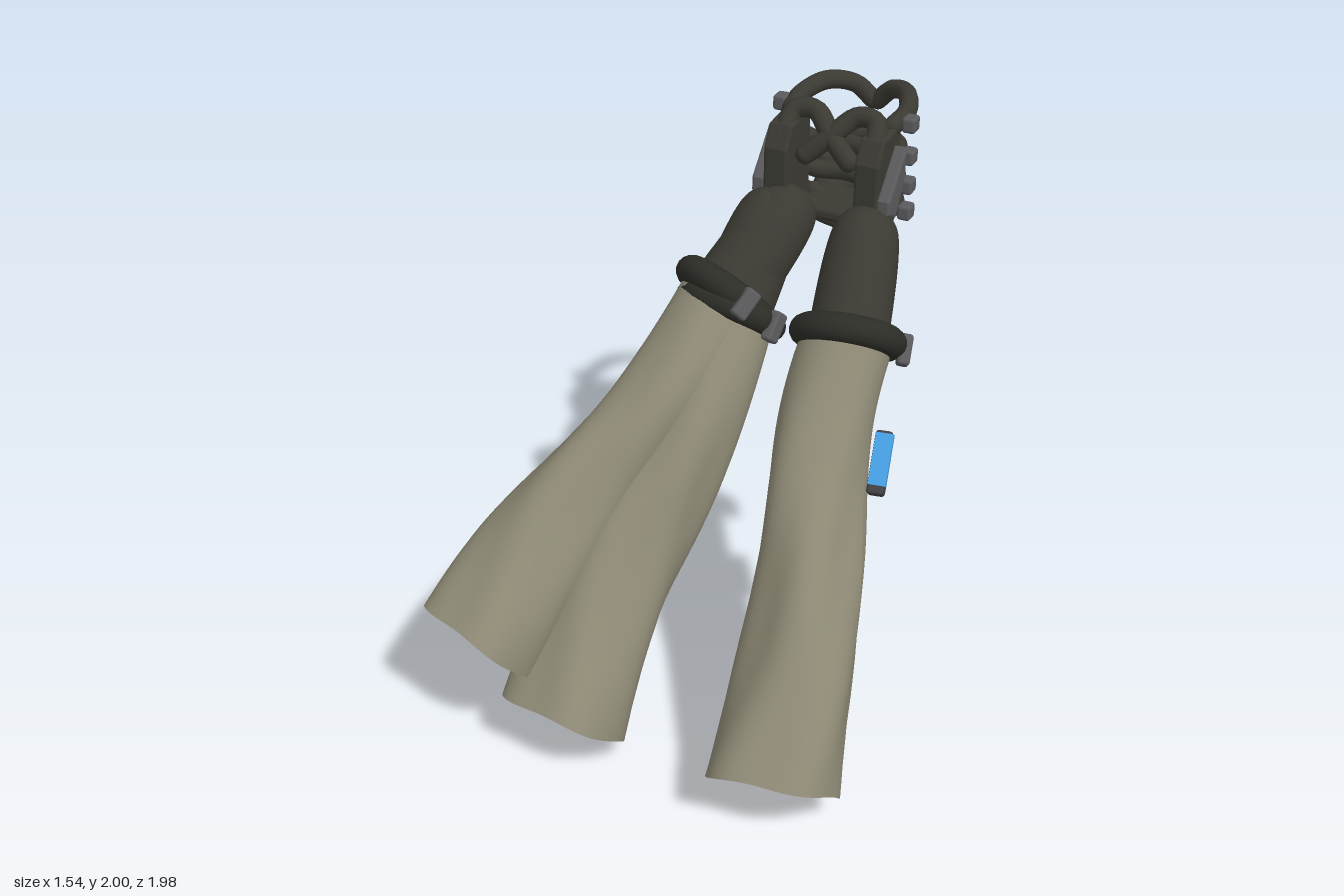
import * as THREE from 'three';
import { RoundedBoxGeometry } from 'three/addons/geometries/RoundedBoxGeometry.js';

const mat = (name, color, side = THREE.FrontSide) => {
  const m = new THREE.MeshStandardMaterial({ color, side });
  m.name = name;
  return m;
};
const V = (x, y, z) => new THREE.Vector3(x, y, z);
const MID = 0.14; // plane between the clasped hands

export function createModel() {
  const cloth = mat('sleeveCloth', 0x8c8874, THREE.DoubleSide);
  const glove = mat('gloveFabric', 0x3a3932);
  const cuffMat = mat('cuffRubber', 0x2c2d27);
  const metal = mat('greyMetal', 0x5a595c);
  const casing = mat('deviceCasing', 0x444145);
  const blue = mat('blueScreen', 0x46a0e4);
  const model = new THREE.Group();

  const add = (parent, name, geo, material, x = 0, y = 0, z = 0) => {
    const m = new THREE.Mesh(geo, material);
    m.name = name;
    m.position.set(x, y, z);
    parent.add(m);
    return m;
  };

  // Rounded rod following a smooth path
  const rod = (parent, name, pts, r) => {
    const g = new THREE.Group();
    g.name = name;
    add(g, name + 'Tube', new THREE.TubeGeometry(new THREE.CatmullRomCurve3(pts), 24, r, 12), glove);
    for (const p of [pts[0], pts[pts.length - 1]])
      add(g, name + 'End', new THREE.SphereGeometry(r, 12, 8), glove, p.x, p.y, p.z);
    parent.add(g);
  };

  // Wrinkled open sleeve hanging from the wrist along local -y
  const sleeveGeometry = (length, side) => {
    const radii = [0.16, 0.163, 0.168, 0.178, 0.192, 0.205, 0.226];
    const rows = 36, cols = 48, pos = [], index = [];
    for (let i = 0; i <= rows; i++) {
      const t = i / rows, k = Math.min(t * 6, 5.999), n = Math.floor(k);
      const r = THREE.MathUtils.lerp(radii[n], radii[n + 1], k - n);
      const sway = -0.036 * (1 - 0.5 * t) * Math.sin(2 * Math.PI * t);
      for (let j = 0; j <= cols; j++) {
        const a = (j / cols) * Math.PI * 2;
        const fold = Math.min(1, t * 2) * (0.009 * Math.sin(3 * a + 7 * t) + 0.008 * Math.sin(5 * a - 9 * t));
        const hem = 0.005 * t * t * Math.sin(4 * a + 1);
        pos.push(side * (Math.cos(a) * (r + fold) + sway), -t * length + hem, Math.sin(a) * (r + fold));
        if (i < rows && j < cols) {
          const p = i * (cols + 1) + j, q = p + cols + 1;
          if (side > 0) index.push(p, p + 1, q, p + 1, q + 1, q);
          else index.push(p, q, p + 1, p + 1, q, q + 1);
        }
      }
    }
    const g = new THREE.BufferGeometry();
    g.setAttribute('position', new THREE.Float32BufferAttribute(pos, 3));
    g.setIndex(index);
    g.computeVertexNormals();
    return g;
  };

  // Arm: sleeve, cuff, buckle and gloved forearm in a frame whose y runs to the hand
  const arm = (name, hem, wrist, side, buckleAngle) => {
    const g = new THREE.Group();
    g.name = name;
    const u = wrist.clone().sub(hem), length = u.length();
    u.normalize();
    const e1 = V(1, 0, 0).addScaledVector(u, -u.x).normalize();
    g.quaternion.setFromRotationMatrix(new THREE.Matrix4().makeBasis(e1, u, e1.clone().cross(u)));
    g.position.copy(wrist);
    add(g, 'sleeve', sleeveGeometry(length, side), cloth);
    add(g, 'cuff', new THREE.TorusGeometry(0.153, 0.052, 16, 48).rotateX(Math.PI / 2), cuffMat, 0, 0.01);
    const profile = [[0.14, -0.06], [0.138, 0.1], [0.132, 0.25], [0.12, 0.36], [0.1, 0.42], [0.06, 0.46], [0, 0.475]];
    add(g, 'forearm', new THREE.LatheGeometry(new THREE.SplineCurve(
      profile.map(p => new THREE.Vector2(...p))).getPoints(24), 32), glove);
    const b = add(g, 'buckle', new RoundedBoxGeometry(0.045, 0.11, 0.06, 2, 0.012), metal,
      0.2 * Math.cos(buckleAngle), 0, 0.2 * Math.sin(buckleAngle));
    b.rotation.y = -buckleAngle;
    model.add(g);
    return g;
  };

  const leftArm = arm('leftArm', V(0.535, 0.15, 0.79), V(0.363, 1.31, -0.19), 1, -0.38);
  arm('rightArm', V(-0.255, 0.15, 0.79), V(-0.083, 1.31, -0.19), -1, 0.25);
  arm('upperRightArm', V(-0.56, 0.4, 0.82), V(-0.11, 1.36, -0.2), -1, 0.75);

  // Wrist device on the left sleeve, its screen folding over the outer edge
  const device = new THREE.Group();
  device.name = 'sleeveDevice';
  device.position.set(0.178, -0.405, -0.035);
  device.rotation.y = 0.15;
  add(device, 'deviceBody', new RoundedBoxGeometry(0.06, 0.22, 0.07, 2, 0.012), casing);
  add(device, 'deviceScreen', new THREE.BoxGeometry(0.06, 0.18, 0.008), blue, 0.003, 0.01, 0.036);
  add(device, 'deviceScreenEdge', new THREE.BoxGeometry(0.008, 0.18, 0.03), blue, 0.03, 0.01, 0.022);
  leftArm.add(device);

  // Flat part cut in the side plane from [z, y] corners
  const slab = (pts, depth) => new THREE.ExtrudeGeometry(
    new THREE.Shape(pts.map(([z, y]) => new THREE.Vector2(-z, y))),
    { depth, bevelEnabled: true, bevelSize: 0.01, bevelThickness: 0.01, bevelSegments: 2 },
  ).rotateY(Math.PI / 2).translate(-depth / 2, 0, 0);

  // Clasped hands, mirrored about the middle
  for (const s of [1, -1]) {
    const hand = new THREE.Group();
    hand.name = s > 0 ? 'leftHand' : 'rightHand';
    hand.position.x = MID;
    const P = (x, y, z) => V(s * x, y, z);
    add(hand, 'palm', slab([[-0.445, 1.66], [-0.45, 1.84], [-0.49, 1.91], [-0.6, 1.92], [-0.64, 1.92], [-0.64, 1.6],
      [-0.59, 1.55], [-0.5, 1.58]], 0.07), glove, s * 0.17);
    add(hand, 'backPlate', slab([[-0.585, 1.86], [-0.58, 1.76], [-0.51, 1.65], [-0.45, 1.68], [-0.45, 1.72]], 0.03),
      metal, s * 0.235);
    rod(hand, 'thumb', [P(0.17, 1.88, -0.5), P(0.15, 1.95, -0.57), P(0.08, 1.955, -0.58),
      P(0, 1.89, -0.53), P(-0.08, 1.82, -0.5)], 0.036);
    rod(hand, 'indexFinger', [P(0.19, 1.925, -0.62), P(0.2, 1.94, -0.74), P(0.15, 1.955, -0.86),
      P(0.07, 1.93, -0.93), P(0.01, 1.87, -0.955)], 0.034);
    // Fingers of one hand wrap outside those of the other
    const back = s > 0 ? -0.815 : -0.74;
    [1.81, 1.7, 1.6].forEach((y, i) => {
      const h = y - 0.02 + s * 0.01;
      rod(hand, 'curledFinger' + (i + 1), [P(0.18, y, -0.62), P(0.19, y, -0.69), P(0.13, h, back + 0.02),
        P(0.02, h, back), P(-0.11, h, back + 0.05)], 0.034);
    });
    for (const y of [1.93, 1.81, 1.7, 1.6])
      add(hand, 'knuckle', new RoundedBoxGeometry(0.05, 0.056, 0.06, 2, 0.012), metal, s * 0.243, y, -0.66);
    model.add(hand);
  }

  // Third hand cradling the clasp from below
  const support = new THREE.Group();
  support.name = 'supportingHand';
  add(support, 'supportPalm', new RoundedBoxGeometry(0.26, 0.05, 0.22, 3, 0.02), glove, MID, 1.585, -0.64);
  for (const z of [-0.585, -0.68, -0.765]) {
    rod(support, 'supportFinger', [V(0.02, 1.6, z), V(0.1, 1.565, z), V(0.2, 1.56, z),
      V(0.27, 1.63, z), V(0.28, 1.78, z)], 0.034);
    add(support, 'supportKnuckle', new RoundedBoxGeometry(0.06, 0.045, 0.056, 2, 0.012), metal, 0.2, 1.522, z);
  }
  model.add(support);
  return model;
}
